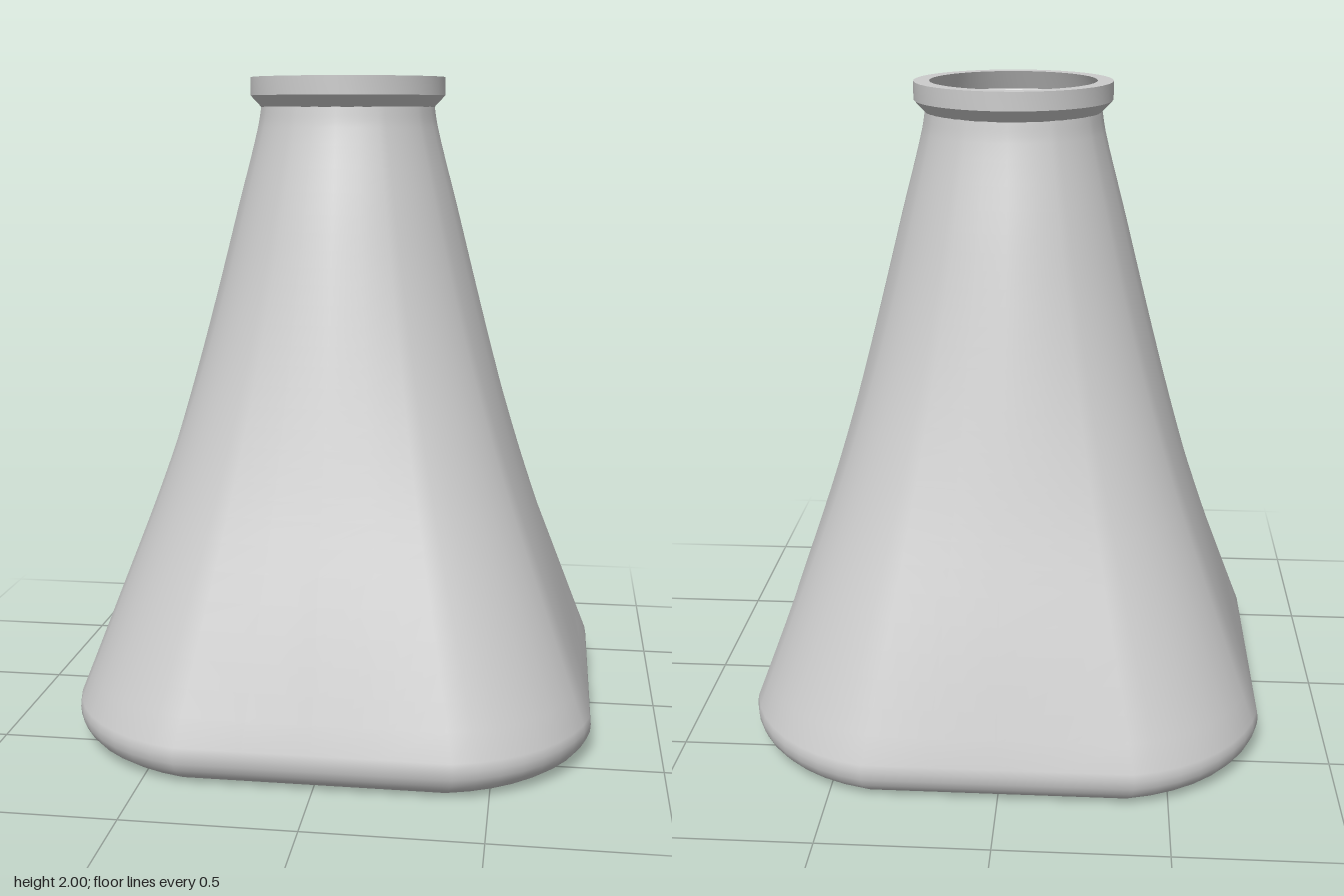
import * as THREE from 'three';
import { toCreasedNormals } from 'three/addons/utils/BufferGeometryUtils.js';

const SIDE_STEPS = 4;
const CORNER_STEPS = 8;

// Unit outline of the base: four straight sides joined by shallow corner arcs
function baseOutline() {
  const points = [];
  const start = THREE.MathUtils.degToRad(12);
  const sweep = Math.PI / 2 - 2 * start;
  const centre = 0.374, radius = 0.64, flat = 0.507;
  const origin = new THREE.Vector2();
  for (let quarter = 0; quarter < 4; quarter++) {
    const quarterPoints = [];
    for (let i = 0; i < SIDE_STEPS; i++) {
      quarterPoints.push(new THREE.Vector2(1, flat * (2 * i / SIDE_STEPS - 1)));
    }
    for (let i = 0; i < CORNER_STEPS; i++) {
      const a = start + sweep * i / CORNER_STEPS;
      quarterPoints.push(new THREE.Vector2(centre + radius * Math.cos(a), centre + radius * Math.sin(a)));
    }
    points.push(...quarterPoints.map(p => p.rotateAround(origin, quarter * Math.PI / 2)));
  }
  return points;
}

// Skin stacked outlines from bottom to top, closing the bottom with a fan.
// Each section is (half width, height, squareness), squareness 0 being a circle.
function loft(sections) {
  const outline = baseOutline();
  const n = outline.length;
  const positions = [], index = [];
  for (const { x: half, y, z: squareness } of sections) {
    for (const p of outline) {
      const q = p.clone().normalize().lerp(p, squareness).multiplyScalar(half);
      positions.push(q.x, y, q.y);
    }
  }
  for (let r = 0; r < sections.length - 1; r++) {
    for (let i = 0; i < n; i++) {
      const j = (i + 1) % n;
      const a = r * n + i, b = r * n + j, c = a + n, d = b + n;
      index.push(a, c, b, b, c, d);
    }
  }
  const centre = positions.length / 3;
  positions.push(0, 0, 0);
  for (let i = 0; i < n; i++) index.push(centre, i, (i + 1) % n);
  const geometry = new THREE.BufferGeometry();
  geometry.setAttribute('position', new THREE.Float32BufferAttribute(positions, 3));
  geometry.setIndex(index);
  geometry.computeVertexNormals();
  return geometry;
}

export function createModel() {
  const group = new THREE.Group();
  const material = new THREE.MeshStandardMaterial({ color: 0xcccccc, side: THREE.DoubleSide });
  const add = (name, geometry) => {
    const mesh = new THREE.Mesh(geometry, material);
    mesh.name = name;
    group.add(mesh);
  };

  // Rounded lower edge, then a wall that blends from square base to round neck
  const sections = [];
  for (let i = 0; i < 7; i++) {
    const a = -Math.PI / 2 + (i / 7) * Math.PI * 0.6;
    sections.push(new THREE.Vector3(0.698 + 0.09 * Math.cos(a), 0.09 + 0.09 * Math.sin(a), 1));
  }
  const wall = new THREE.CatmullRomCurve3([
    [0.784, 0.118, 1], [0.682, 0.43, 0.8], [0.579, 0.74, 0.58],
    [0.52, 0.935, 0.42], [0.455, 1.17, 0.21], [0.395, 1.4, 0.06],
    [0.344, 1.6, 0], [0.279, 1.85, 0], [0.268, 1.915, 0],
  ].map(p => new THREE.Vector3(...p)));
  sections.push(...wall.getPoints(32));
  add('bottleBody', loft(sections));

  // Lip with its bevelled underside, the matching hollow inside and the neck floor
  const lip = [
    [0.268, 1.91], [0.301, 1.945], [0.301, 2], [0.253, 2], [0.28, 1.943],
    [0.253, 1.912], [0.282, 1.8], [0, 1.8],
  ].map(p => new THREE.Vector2(...p));
  add('neckLip', toCreasedNormals(new THREE.LatheGeometry(lip, 40), 0.4));

  return group;
}
